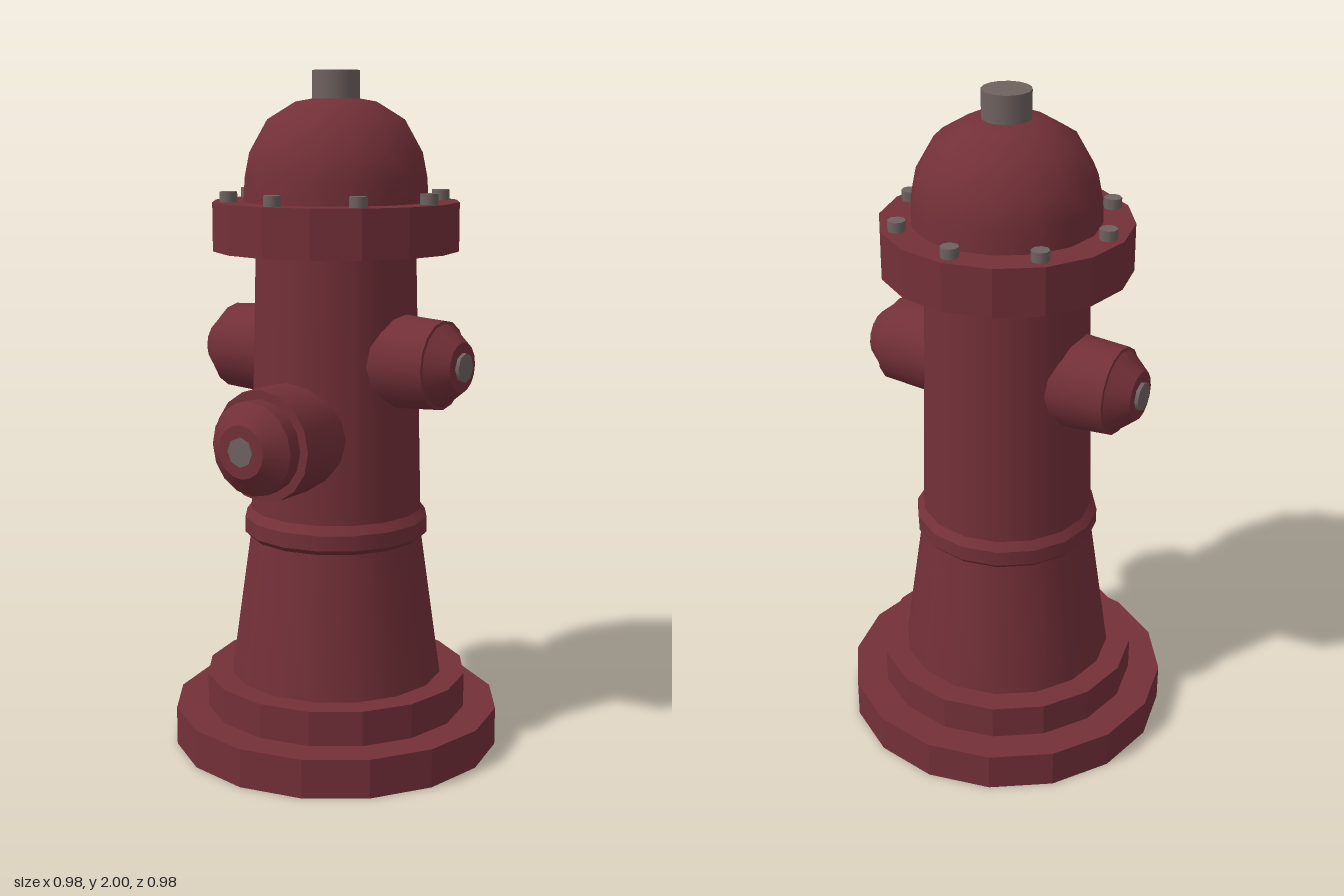
import * as THREE from 'three';

const SIDES = 16;

export function createModel() {
  const model = new THREE.Group();
  model.name = 'fireHydrant';

  const red = new THREE.MeshStandardMaterial({ color: 0x733038, side: THREE.DoubleSide });
  red.name = 'dark red paint';
  const grey = new THREE.MeshStandardMaterial({ color: 0x6f625f });
  grey.name = 'grey metal';

  const add = (parent, name, geometry, material) => {
    const mesh = new THREE.Mesh(geometry, material);
    mesh.name = name;
    parent.add(mesh);
    return mesh;
  };

  // Hollow turned shell from [radius, height] points, listed upwards
  const turned = (profile, faceted = false) => {
    const lathe = new THREE.LatheGeometry(profile.map(([r, y]) => new THREE.Vector2(r, y)), SIDES);
    if (!faceted) return lathe;
    const flat = lathe.toNonIndexed();
    flat.computeVertexNormals();
    return flat;
  };

  // Each span of the profile becomes its own mesh, so the edges between stay sharp
  const banded = (parent, name, profile) => {
    const group = new THREE.Group();
    group.name = name;
    for (let i = 1; i < profile.length; i++) {
      add(group, name + 'Band' + i, turned([profile[i - 1], profile[i]]), red);
    }
    parent.add(group);
    return group;
  };

  // Stepped foot, open underneath
  add(model, 'base', turned(
    [[0.49, 0], [0.49, 0.115], [0.393, 0.115], [0.393, 0.218], [0.318, 0.218]], true), red);

  // Barrel with its raised collar
  banded(model, 'lowerBarrel', [[0.32, 0.216], [0.26, 0.64]]);
  banded(model, 'collar', [[0.255, 0.635], [0.275, 0.655], [0.275, 0.7], [0.256, 0.725]]);
  banded(model, 'upperBarrel', [[0.256, 0.72], [0.236, 1.5]]);

  // Flange, open underneath, and bonnet
  add(model, 'flange', turned([[0.36, 1.49], [0.36, 1.63], [0.268, 1.63]], true), red);
  add(model, 'bonnet', turned([
    [0.27, 1.628], [0.266, 1.7], [0.252, 1.77], [0.2, 1.862], [0.118, 1.912], [0.06, 1.922], [0, 1.922],
  ]), red);
  add(model, 'topNut', new THREE.CylinderGeometry(0.07, 0.07, 0.1, SIDES), grey).position.y = 1.95;

  // Ring of flange bolts
  for (let i = 0; i < 8; i++) {
    const angle = (i * Math.PI) / 4;
    const bolt = add(model, 'flangeBolt', new THREE.CylinderGeometry(0.026, 0.026, 0.035, 8), grey);
    bolt.position.set(0.313 * Math.sin(angle), 1.6425, 0.313 * Math.cos(angle));
    bolt.rotation.y = Math.PI / 8;
  }

  // Outlet: tube, cap and nut, turned about its own axis and then laid to point along +z
  const outlet = (name, height, yaw, profile, nutEnd) => {
    const pivot = new THREE.Group();
    pivot.name = name;
    pivot.position.y = height;
    pivot.rotation.y = yaw;
    const body = banded(pivot, name + 'Body', profile);
    body.rotation.x = Math.PI / 2;
    const nut = add(body, name + 'Nut', new THREE.CylinderGeometry(0.042, 0.042, 0.04, 8), grey);
    nut.position.y = nutEnd - 0.02;
    model.add(pivot);
  };

  outlet('frontOutlet', 0.97, 0, [
    [0.16, 0.18], [0.16, 0.375], [0.134, 0.375], [0.134, 0.42], [0.076, 0.468], [0, 0.468],
  ], 0.472);

  for (const side of [1, -1]) {
    outlet(side > 0 ? 'leftOutlet' : 'rightOutlet', 1.18, (side * Math.PI) / 2, [
      [0.14, 0.18], [0.128, 0.365], [0.12, 0.367], [0.072, 0.427], [0, 0.427],
    ], 0.438);
  }

  return model;
}
